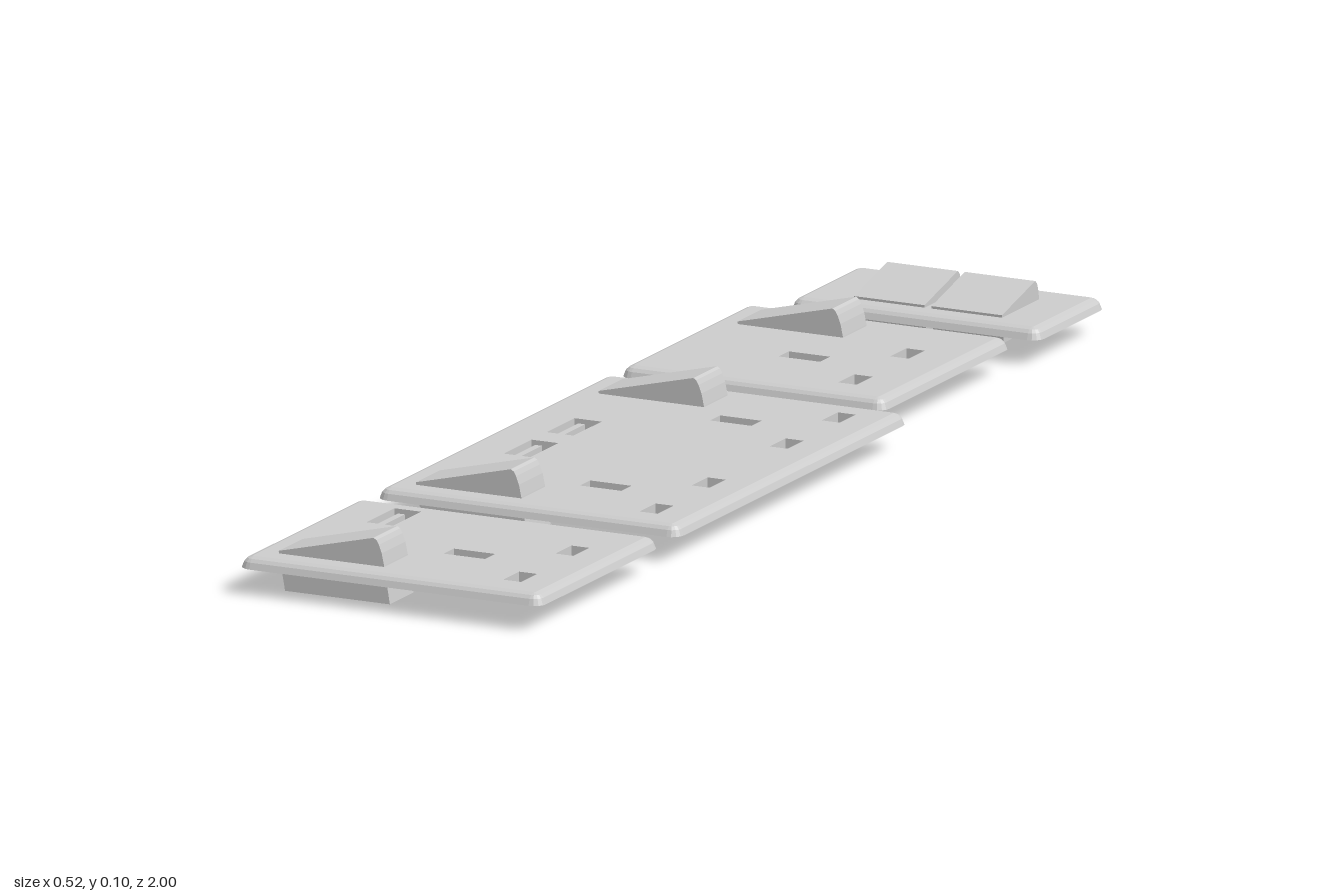
import * as THREE from 'three';

const TOP = 0.058, BASE = 0.04, FLOOR = 0.027;
const material = new THREE.MeshStandardMaterial({ color: 0xcccccc, flatShading: true });
const thin = new THREE.MeshStandardMaterial({ color: 0xcccccc, flatShading: true, side: THREE.DoubleSide });

function add(parent, name, geometry, mat = material) {
  const mesh = new THREE.Mesh(geometry, mat);
  mesh.name = name;
  parent.add(mesh);
  return mesh;
}

// Rounded rectangle outline [x, z], pulled in by inset
function outline([x0, x1, z0, z1], inset) {
  const R = 0.02, r = R - inset, pts = [];
  const corners = [[x1 - R, z1 - R], [x0 + R, z1 - R], [x0 + R, z0 + R], [x1 - R, z0 + R]];
  corners.forEach(([cx, cz], c) => {
    for (let i = 0; i <= 4; i++) {
      const a = (c + i / 4) * Math.PI / 2;
      pts.push(new THREE.Vector2(cx + r * Math.cos(a), cz + r * Math.sin(a)));
    }
  });
  return pts;
}

// Flat sheet with rectangular cut-outs, at height y
function sheet(rect, inset, holes, y, up) {
  const flip = (p) => new THREE.Vector2(p.x, up ? -p.y : p.y);
  const shape = new THREE.Shape(outline(rect, inset).map(flip));
  for (const [x0, x1, z0, z1] of holes) {
    const pts = [[x0, z0], [x1, z0], [x1, z1], [x0, z1]];
    shape.holes.push(new THREE.Path(pts.map(([x, z]) => flip(new THREE.Vector2(x, z)))));
  }
  return new THREE.ShapeGeometry(shape).rotateX(up ? -Math.PI / 2 : Math.PI / 2).translate(0, y, 0);
}

// Rounded-over rim lofted from nested outlines
function rim(rect) {
  const rings = [[0, BASE], [0.004, 0.05], [0.009, 0.055], [0.017, TOP]];
  const pos = [], index = [];
  let n = 0;
  rings.forEach(([inset, y]) => {
    const pts = outline(rect, inset);
    n = pts.length;
    pts.forEach((p) => pos.push(p.x, y, p.y));
  });
  for (let k = 0; k < rings.length - 1; k++) {
    for (let i = 0; i < n; i++) {
      const a = k * n + i, b = k * n + (i + 1) % n;
      index.push(a, a + n, b, b, a + n, b + n);
    }
  }
  const g = new THREE.BufferGeometry();
  g.setAttribute('position', new THREE.Float32BufferAttribute(pos, 3));
  g.setIndex(index);
  g.computeVertexNormals();
  return g;
}

// Open-topped recess hanging under the plate
function pocket([x0, x1, z0, z1]) {
  const g = new THREE.BoxGeometry(x1 - x0, TOP - FLOOR, z1 - z0);
  const idx = Array.from(g.index.array);
  idx.splice(12, 6); // leave out the top face
  g.setIndex(idx);
  g.clearGroups();
  return g.translate((x0 + x1) / 2, (TOP + FLOOR) / 2, (z0 + z1) / 2);
}

function extrude(points, depth) {
  const shape = new THREE.Shape(points.map(([x, y]) => new THREE.Vector2(x, y)));
  return new THREE.ExtrudeGeometry(shape, { depth, bevelEnabled: false });
}

function plate(name, rect, pins = [], ports = []) {
  const group = new THREE.Group();
  group.name = name;
  const holes = [...pins, ...ports];
  add(group, 'plateTop', sheet(rect, 0.017, holes, TOP, true));
  add(group, 'plateUnderside', sheet(rect, 0, holes, BASE, false));
  add(group, 'plateRim', rim(rect));
  pins.forEach((h) => add(group, 'pinHole', pocket(h), thin));
  ports.forEach((h) => {
    add(group, 'chargingPort', pocket(h), thin);
    // Contact tongue inside the port
    add(group, 'portTongue', new THREE.BoxGeometry(0.012, 0.025, h[3] - h[2] - 0.024))
      .position.set(h[0] + 0.018, 0.0415, (h[2] + h[3]) / 2);
  });
  return group;
}

// Three pin holes: two upright and one earth slot; x is the upright pair's left edge
function socketPins(x, z) {
  return [
    [x, x + 0.031, z - 0.115, z - 0.061],
    [x, x + 0.031, z + 0.061, z + 0.115],
    [x - 0.152, x - 0.081, z - 0.017, z + 0.017],
  ];
}

// Wedge-shaped side switch
const rockerProfile = [
  [-0.202, 0], [-0.022, 0], [-0.032, 0.06], [-0.036, 0.079], [-0.041, 0.092],
  [-0.045, 0.099], [-0.05, 0.102], [-0.213, 0.062],
];
function rocker(group, z) {
  add(group, 'rockerSwitch', extrude(rockerProfile, 0.08)).position.z = z - 0.04;
}

export function createModel() {
  const model = new THREE.Group();
  model.name = 'wallPlates';

  // Double light switch, profile written as [-z, y]
  const light = plate('lightSwitchPlate', [-0.215, 0.215, -1, -0.77]);
  const lightProfile = [
    [0.818, 0.017], [0.94, 0.017], [0.937, 0.06], [0.934, 0.075], [0.93, 0.085],
    [0.924, 0.09], [0.812, 0.062],
  ];
  for (const x of [-0.123, 0.01]) {
    add(light, 'lightRocker', extrude(lightProfile, 0.121).rotateY(Math.PI / 2)).position.x = x;
  }

  // Single socket
  const single = plate('singleSocket', [-0.26, 0.195, -0.72, -0.287], socketPins(0.084, -0.467));
  rocker(single, -0.635);

  // Double socket with two charging ports
  const double = plate('doubleSocket', [-0.26, 0.26, -0.245, 0.535],
    [...socketPins(0.165, -0.076), ...socketPins(0.165, 0.363)],
    [[-0.178, -0.132, 0.023, 0.117], [-0.178, -0.132, 0.168, 0.262]]);
  rocker(double, -0.166);
  rocker(double, 0.45);

  // Single socket with one charging port
  const charger = plate('chargingSocket', [-0.26, 0.26, 0.593, 1], socketPins(0.165, 0.823),
    [[-0.178, -0.132, 0.631, 0.725]]);
  rocker(charger, 0.913);

  model.add(light, single, double, charger);
  return model;
}
